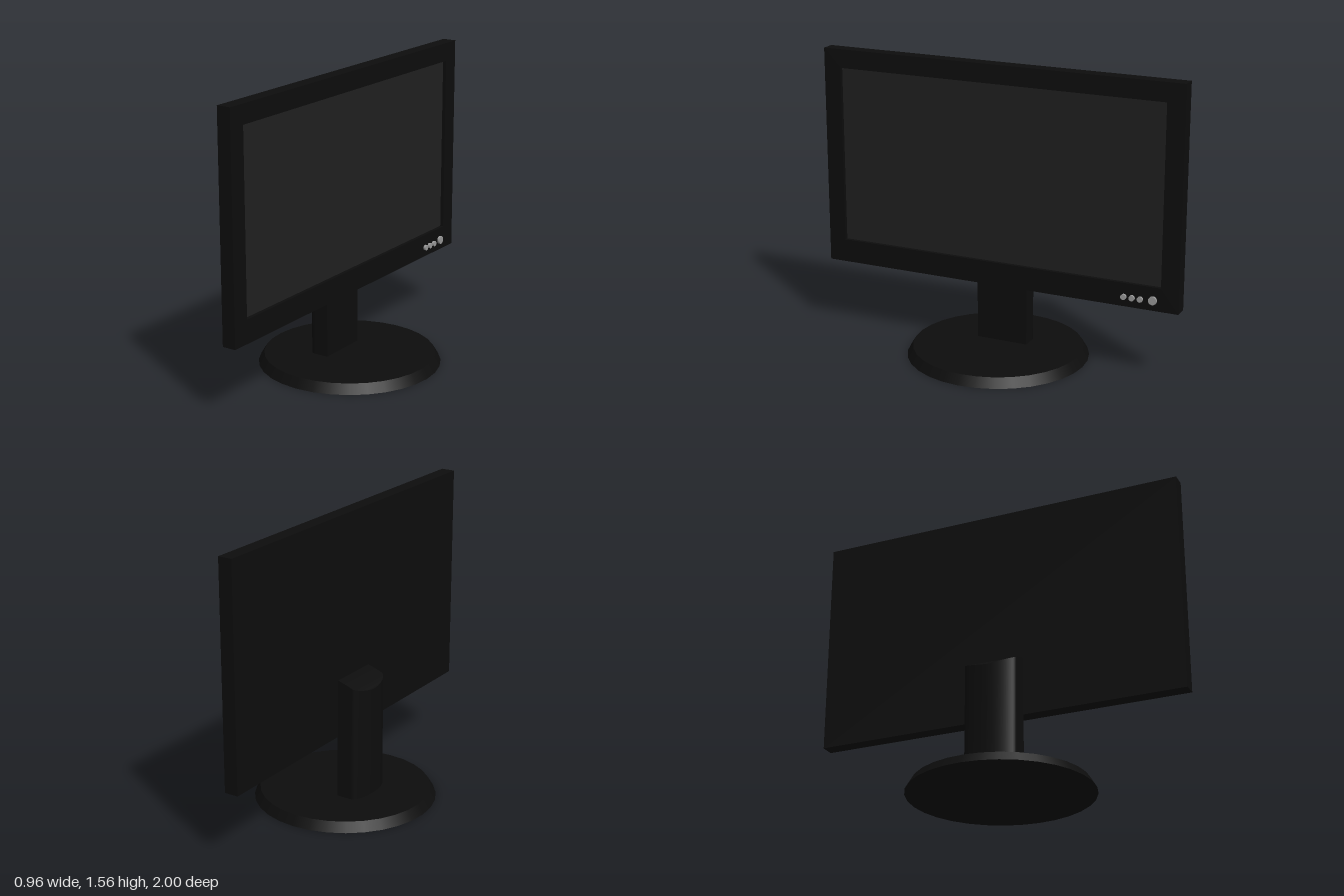
import * as THREE from 'three';

const black = new THREE.MeshStandardMaterial({ color: 0x0d0d0d });
const dark = new THREE.MeshStandardMaterial({ color: 0x202020 });
const grey = new THREE.MeshStandardMaterial({ color: 0x999999 });

function rectangle(PathType, halfWidth, bottom, top) {
  return new PathType([
    new THREE.Vector2(-halfWidth, bottom), new THREE.Vector2(halfWidth, bottom),
    new THREE.Vector2(halfWidth, top), new THREE.Vector2(-halfWidth, top),
  ]);
}

// Column with a rounded back and a top that curves down towards the back
function columnGeometry() {
  const front = -0.045, back = -0.18, bend = -0.13;
  const geometry = new THREE.BoxGeometry(1, 1, 1, 24, 1, 1);
  const p = geometry.attributes.position;
  for (let i = 0; i < p.count; i++) {
    const t = 0.5 - p.getX(i);
    const x = front + (back - front) * Math.sin(t * Math.PI / 2);
    const round = Math.max(0, (bend - x) / (bend - back));
    const halfWidth = Math.max(0.001, 0.142 * Math.sqrt(Math.max(0, 1 - round * round)));
    const top = 0.635 + 0.063 * Math.pow(Math.max(0, (x - back) / (front - back)), 0.6);
    p.setXYZ(i, x, p.getY(i) > 0 ? top : 0.04, Math.sign(p.getZ(i)) * halfWidth);
  }
  geometry.computeVertexNormals();
  return geometry;
}

export function createModel() {
  const model = new THREE.Group();
  const add = (name, geometry, material, x = 0, y = 0, z = 0) => {
    const mesh = new THREE.Mesh(geometry, material);
    mesh.name = name;
    mesh.position.set(x, y, z);
    model.add(mesh);
    return mesh;
  };

  // Stand
  add('base', new THREE.CylinderGeometry(0.452, 0.482, 0.05, 32), black, 0, 0.025, 0);
  add('column', columnGeometry(), black);

  // Housing: back shell and a raised bezel around the screen, facing +x
  add('backShell', new THREE.BoxGeometry(0.053, 1.175, 2), black, -0.0235, 0.9725, 0);
  const bezel = rectangle(THREE.Shape, 1, 0.385, 1.56);
  bezel.holes.push(rectangle(THREE.Path, 0.905, 0.51, 1.46));
  const bezelGeometry = new THREE.ExtrudeGeometry(bezel, { depth: 0.022, bevelEnabled: false });
  bezelGeometry.rotateY(Math.PI / 2);
  add('bezel', bezelGeometry, black, 0.003);
  add('screen', new THREE.BoxGeometry(0.01, 0.95, 1.81), dark, 0.001, 0.985, 0);

  // Round buttons: three small ones and a larger power button
  const button = (name, radius, y, z) => {
    const geometry = new THREE.CylinderGeometry(radius, radius, 0.02, 20);
    geometry.rotateZ(-Math.PI / 2);
    add(name, geometry, grey, 0.028, y, z);
  };
  for (let i = 0; i < 3; i++) button('menuButton', 0.015, 0.437, -0.71 - i * 0.044);
  button('powerButton', 0.022, 0.441, -0.865);

  return model;
}
